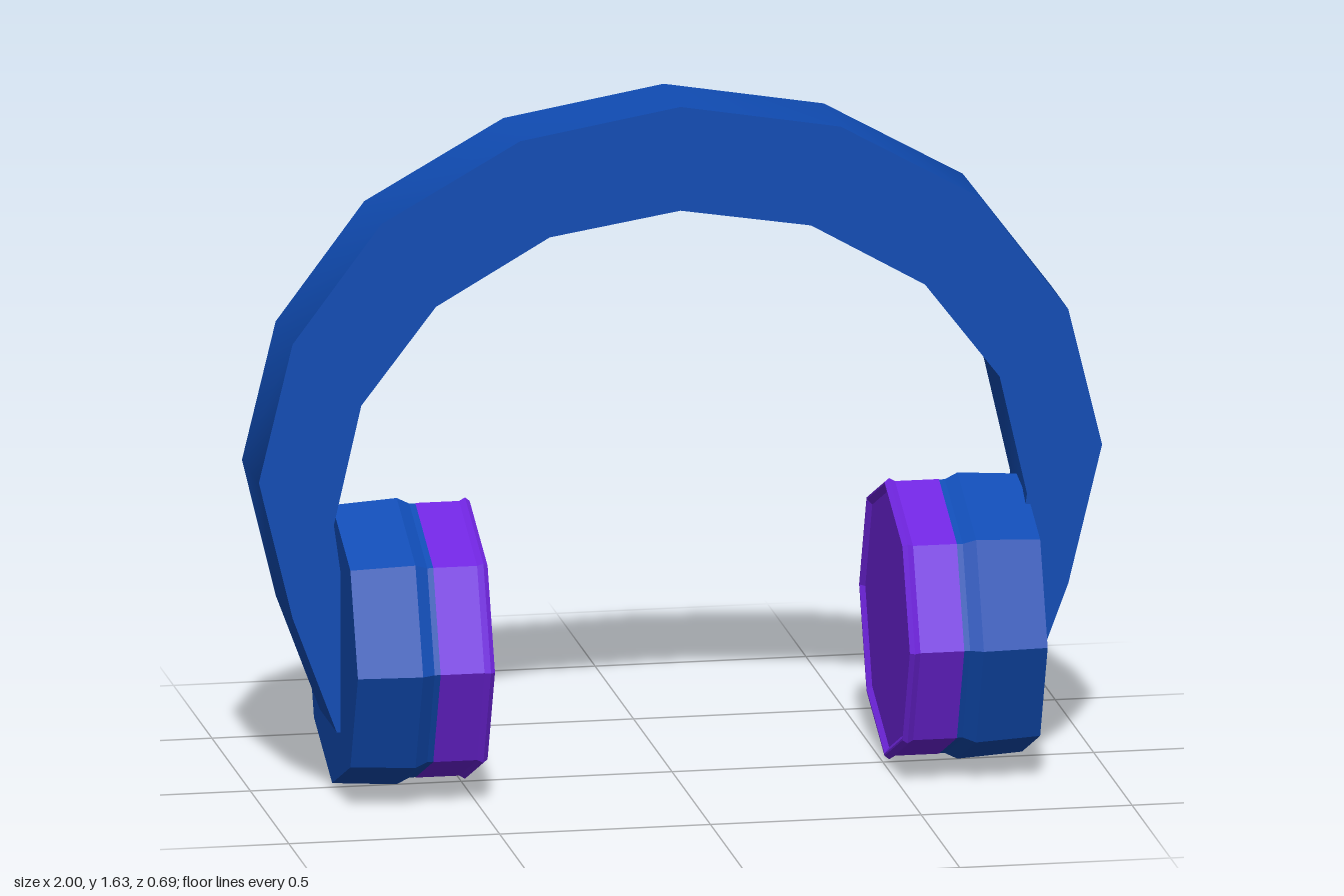
import * as THREE from 'three';
import { toCreasedNormals } from 'three/addons/utils/BufferGeometryUtils.js';

const blue = new THREE.MeshStandardMaterial({ color: 0x104cb4 });
blue.name = 'blue';
const purple = new THREE.MeshStandardMaterial({ color: 0x7025e0 });
purple.name = 'purple';

// Eight-sided solid around the x axis; profile rows are [x, radius] with x rising
function octagon(name, profile, material) {
  const points = profile.map(([x, r]) => new THREE.Vector2(r, x));
  const geometry = new THREE.LatheGeometry(points, 8).rotateZ(-Math.PI / 2).toNonIndexed();
  geometry.computeVertexNormals();
  const mesh = new THREE.Mesh(geometry, material);
  mesh.name = name;
  return mesh;
}

// Ear cup facing outward along +x, with its cushion on the inner side
function earCup(name) {
  const group = new THREE.Group();
  group.name = name;
  group.add(
    octagon('cupShell', [[-0.04, 0], [-0.04, 0.33], [-0.02, 0.33], [0.01, 0.345], [0.163, 0.335], [0.163, 0]], blue),
    octagon('earCushion', [[-0.152, 0], [-0.152, 0.31], [-0.163, 0.325], [-0.163, 0.33],
      [-0.152, 0.339], [-0.138, 0.331], [-0.034, 0.331]], purple),
  );
  return group;
}

// Arched headband, half outlines from the crown down to the tip
function headband() {
  const outer = [[0, 1.63], [0.38, 1.565], [0.71, 1.38], [0.92, 1.1], [1, 0.77], [0.92, 0.44], [0.815, 0.16]];
  const inner = [[0, 1.38], [0.31, 1.33], [0.58, 1.175], [0.757, 0.945], [0.822, 0.66], [0.8, 0.5], [0.78, 0.16]];
  const mirror = (half) => half.slice(1).reverse().map(([x, y]) => [-x, y]).concat(half);
  const outline = [...mirror(outer), ...mirror(inner).reverse()];
  const shape = new THREE.Shape(outline.map(([x, y]) => new THREE.Vector2(x, y)));
  const geometry = new THREE.ExtrudeGeometry(shape, { depth: 0.22, bevelEnabled: false });
  geometry.translate(0, 0, -0.11);
  const mesh = new THREE.Mesh(toCreasedNormals(geometry, 0.7), blue);
  mesh.name = 'headband';
  return mesh;
}

export function createModel() {
  const model = new THREE.Group();
  model.name = 'headphones';
  const left = earCup('leftEarCup');
  left.position.set(0.667, 0.345, 0);
  const right = earCup('rightEarCup');
  right.position.set(-0.643, 0.345, 0);
  right.rotation.y = Math.PI;
  model.add(headband(), left, right);
  return model;
}
